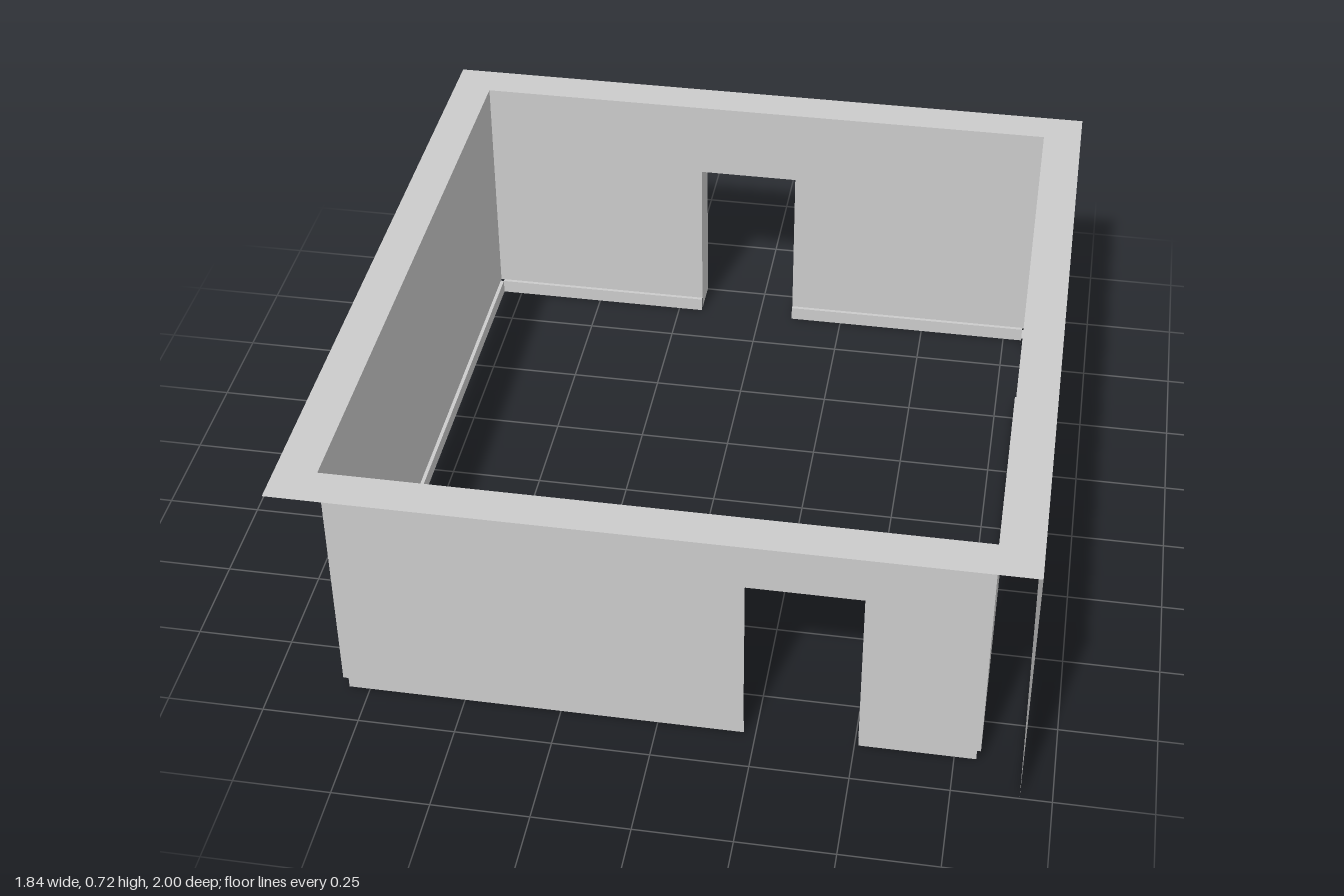
import * as THREE from 'three';

const HEIGHT = 0.72, DOOR_TOP = 0.5, BASE = 0.04, BASE_DEPTH = 0.01;
const HALF_X = 0.92, HALF_Z = 1, INNER_X = 0.815, INNER_Z = 0.895;

const material = new THREE.MeshStandardMaterial({ color: 0xcccccc, side: THREE.DoubleSide, flatShading: true });

function add(group, name, geometry) {
  const mesh = new THREE.Mesh(geometry, material);
  mesh.name = name;
  group.add(mesh);
  return mesh;
}

// Upright sheet from bottom to full height, notched by an optional doorway
function sheet(half, bottom, door, z) {
  const points = [[-half, bottom]];
  if (door) points.push([door[0], bottom], [door[0], DOOR_TOP], [door[1], DOOR_TOP], [door[1], bottom]);
  points.push([half, bottom], [half, HEIGHT], [-half, HEIGHT]);
  const shape = new THREE.Shape(points.map(([x, y]) => new THREE.Vector2(x, y)));
  return new THREE.ShapeGeometry(shape).translate(0, 0, z);
}

// One side of the room, laid out facing +z and then turned into place
function createSide({ name, angle, half, inner, outerHalf, outer, door }) {
  const side = new THREE.Group();
  side.name = name;
  side.rotation.y = angle;

  add(side, 'innerWall', sheet(half, BASE, door, inner));

  // Skirting runs on each side of the doorway
  const end = half - BASE_DEPTH;
  const runs = door ? [[-end, door[0]], [door[1], end]] : [[-end, end]];
  for (const [a, b] of runs) {
    const length = b - a, middle = (a + b) / 2;
    add(side, 'skirtingFace', new THREE.PlaneGeometry(length, BASE)
      .rotateY(Math.PI).translate(middle, BASE / 2, inner - BASE_DEPTH));
    add(side, 'skirtingTop', new THREE.PlaneGeometry(length, BASE_DEPTH)
      .rotateX(-Math.PI / 2).translate(middle, BASE, inner - BASE_DEPTH / 2));
  }

  // Outer skin with the lining of the doorway
  if (outer) {
    add(side, 'outerWall', sheet(outerHalf, 0, door, outer));
    const depth = outer - inner, z = (outer + inner) / 2;
    door.forEach((x, i) => add(side, 'doorJamb', new THREE.PlaneGeometry(depth, DOOR_TOP)
      .rotateY(i ? -Math.PI / 2 : Math.PI / 2).translate(x, DOOR_TOP / 2, z)));
    add(side, 'doorLintel', new THREE.PlaneGeometry(door[1] - door[0], depth)
      .rotateX(Math.PI / 2).translate((door[0] + door[1]) / 2, DOOR_TOP, z));
  }
  return side;
}

function rectangle(Type, x, z) {
  return new Type([[-x, -z], [x, -z], [x, z], [-x, z]].map(([a, b]) => new THREE.Vector2(a, b)));
}

export function createModel() {
  const room = new THREE.Group();
  room.name = 'room';

  const sides = [
    { name: 'frontWall', angle: 0, half: INNER_X, inner: INNER_Z, door: [0.22, 0.51] },
    { name: 'leftWall', angle: Math.PI / 2, half: INNER_Z, inner: INNER_X,
      outerHalf: HALF_Z, outer: HALF_X, door: [0.55, 0.84] },
    { name: 'backWall', angle: Math.PI, half: INNER_X, inner: INNER_Z,
      outerHalf: HALF_X, outer: HALF_Z, door: [-0.10, 0.18] },
    { name: 'rightWall', angle: -Math.PI / 2, half: INNER_Z, inner: INNER_X },
  ];
  for (const side of sides) room.add(createSide(side));

  // Flat rim over the wall tops
  const rim = rectangle(THREE.Shape, HALF_X, HALF_Z);
  rim.holes.push(rectangle(THREE.Path, INNER_X, INNER_Z));
  add(room, 'wallTop', new THREE.ShapeGeometry(rim).rotateX(-Math.PI / 2).translate(0, HEIGHT, 0));

  return room;
}
